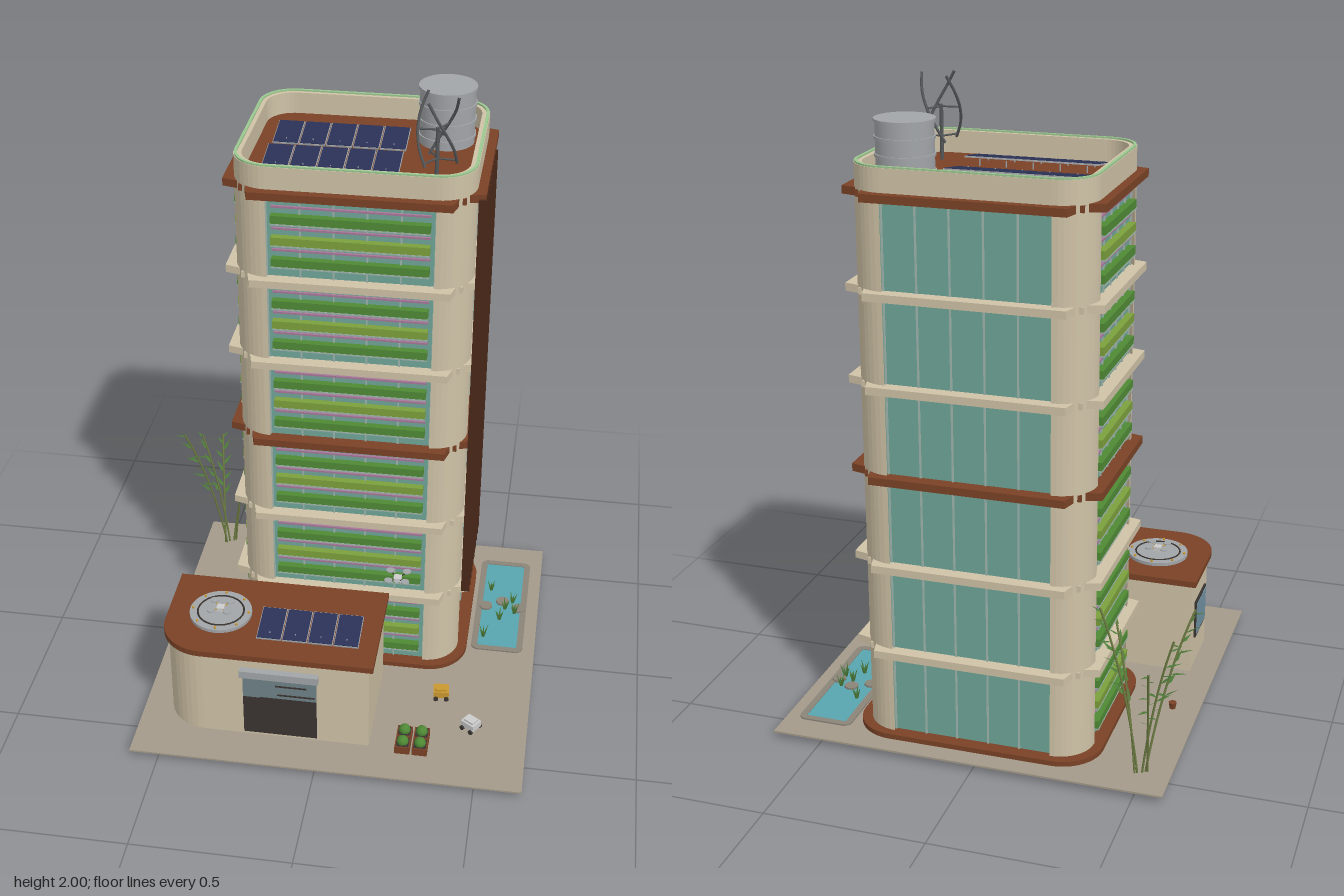
import * as THREE from 'three';

const mat = (color, side = THREE.FrontSide) => new THREE.MeshStandardMaterial({ color, side });
const cream = mat(0xcfc2a6), brown = mat(0x7a4226), darkBrown = mat(0x4a2818), glass = mat(0x6fa598),
  green = mat(0x4f8a35), lime = mat(0x7ba03c), pink = mat(0xa8789a), frame = mat(0x9fb5ac), navy = mat(0x2a3156),
  metal = mat(0xa2a5a8), dark = mat(0x3a3430), paving = mat(0xa39a8a), water = mat(0x58a5b0), stone = mat(0x8a8378),
  gold = mat(0xc9982f), white = mat(0xcccccc), blade = mat(0x55585a), trim = mat(0x9cc890),
  leafMat = mat(0x4c7a38, THREE.DoubleSide), stalk = mat(0x6d7d42);

function add(parent, name, geo, material, x = 0, y = 0, z = 0) {
  const m = new THREE.Mesh(geo, material);
  m.name = name;
  m.position.set(x, y, z);
  parent.add(m);
  return m;
}
const box = (p, name, m, w, h, d, x, y, z) => add(p, name, new THREE.BoxGeometry(w, h, d), m, x, y, z);
const cyl = (p, name, m, r, h, x, y, z, n = 20, r2 = r) => add(p, name, new THREE.CylinderGeometry(r, r2, h, n), m, x, y, z);
function group(parent, name, x = 0, y = 0, z = 0, ry = 0) {
  const g = new THREE.Group();
  g.name = name;
  g.position.set(x, y, z);
  g.rotation.y = ry;
  parent.add(g);
  return g;
}
// Rounded rectangle on the ground plan, centred on the origin
function roundRect(w, d, r) {
  const s = new THREE.Shape(), x = w / 2, y = d / 2;
  s.absarc(x - r, y - r, r, 0, Math.PI / 2);
  s.absarc(-x + r, y - r, r, Math.PI / 2, Math.PI);
  s.absarc(-x + r, -y + r, r, Math.PI, Math.PI * 1.5);
  s.absarc(x - r, -y + r, r, Math.PI * 1.5, Math.PI * 2);
  s.closePath();
  return s;
}
// Upright prism from a plan shape (shape y points to -z)
const prism = (shape, h) => new THREE.ExtrudeGeometry(shape, { depth: h, bevelEnabled: false, curveSegments: 5 }).rotateX(-Math.PI / 2);
const polygon = pts => new THREE.Shape(pts.map(p => new THREE.Vector2(p[0], -p[1])));
function ring(w, d, r, t) {
  const s = roundRect(w, d, r);
  s.holes.push(roundRect(w - 2 * t, d - 2 * t, r - t));
  return s;
}
// Thin rod between two points
function rod(p, name, m, a, b, r) {
  const A = new THREE.Vector3(...a), B = new THREE.Vector3(...b), d = B.clone().sub(A);
  const c = cyl(p, name, m, r, d.length(), 0, 0, 0, 6);
  c.position.copy(A).add(B).multiplyScalar(0.5);
  c.quaternion.setFromUnitVectors(new THREE.Vector3(0, 1, 0), d.normalize());
}

const FLOORS = [0.03, 0.31, 0.595, 0.88, 1.16, 1.44, 1.725];

// One tower side; local +z points outwards and z = 0 is the wall plane
function facade(tower, name, w, x, z, ry, planted) {
  const g = group(tower, name, x, 0, z, ry);
  box(g, 'glazing', glass, w + 0.02, 1.7, 0.02, 0, 0.88, -0.025);
  for (let i = 0; i <= 5; i++) box(g, 'mullion', frame, 0.005, 1.69, 0.006, (i / 5 - 0.5) * w, 0.88, -0.013);
  FLOORS.slice(1).forEach((y, i) => {
    const a = w / 2 + 0.065, b = w / 2 + 0.05;
    const ledge = prism(polygon([[-a, -0.03], [-b, 0.027], [b, 0.027], [a, -0.03]]), 0.024);
    add(g, 'floorLedge', ledge, i === 2 || i === 5 ? brown : cream, 0, y - 0.012, 0);
  });
  if (!planted) return;
  for (const y of FLOORS.slice(0, 6)) {
    [0.065, 0.135, 0.205].forEach((dy, k) => {
      box(g, 'planterGreenery', k === 1 ? lime : green, w - 0.03, 0.025, 0.024, 0, y + dy, -0.004);
      box(g, 'planterTray', frame, w - 0.03, 0.005, 0.026, 0, y + dy - 0.015, -0.004);
      box(g, 'flowerStrip', pink, w - 0.03, 0.006, 0.008, 0, y + dy + 0.035, -0.011);
    });
  }
}

function solarRow(p, n, x0, pitch, y, z, depth, tilt) {
  for (let i = 0; i < n; i++) {
    const g = group(p, 'solarPanel', x0 + (i + 0.5) * pitch, y, z);
    g.rotation.x = tilt;
    box(g, 'panelFrame', metal, pitch - 0.003, 0.005, depth, 0, 0, 0);
    box(g, 'panelCells', navy, pitch - 0.007, 0.004, depth - 0.004, 0, 0.002, 0);
    for (const s of [-1, 1]) rod(p, 'panelLeg', metal, [g.position.x, y - 0.02, z + s * 0.04], [g.position.x, y, z + s * 0.04], 0.002);
  }
}

function drone(root, x, y, z, armMat) {
  const g = group(root, 'drone', x, y, z);
  box(g, 'droneBody', white, 0.024, 0.014, 0.024, 0, 0, 0);
  for (const sx of [-1, 1]) for (const sz of [-1, 1]) {
    rod(g, 'droneArm', armMat, [0, 0, 0], [sx * 0.026, 0.006, sz * 0.026], 0.002);
    cyl(g, 'rotor', metal, 0.013, 0.003, sx * 0.026, 0.009, sz * 0.026, 12);
  }
}

function robot(root, x, z, ry, m) {
  const g = group(root, 'serviceRobot', x, 0.025, z, ry);
  box(g, 'robotBody', m, 0.05, 0.022, 0.042, 0, 0.022, 0);
  box(g, 'robotLid', m, 0.036, 0.008, 0.03, 0, 0.036, 0);
  for (const sx of [-1, 1]) for (const sz of [-1, 1])
    cyl(g, 'wheel', dark, 0.008, 0.007, sx * 0.017, 0.008, sz * 0.023, 10).rotation.x = Math.PI / 2;
}

function tuft(root, x, z, h) {
  const g = group(root, 'waterPlant', x, 0.025, z);
  for (let i = 0; i < 6; i++) {
    const a = i * 1.047 + x * 20, l = h * (i % 2 ? 1 : 0.75);
    const geo = new THREE.ConeGeometry(0.005, l, 4).translate(0, l / 2, 0).rotateX(0.35);
    add(g, 'reedLeaf', geo, leafMat).rotation.y = a;
  }
}

// Leaning stem with pointed leaves in the upper part
function bambooStem(g, tip, k) {
  const base = [-0.5 + 0.008 * k, 0, -0.5 - 0.006 * k];
  const curve = new THREE.QuadraticBezierCurve3(new THREE.Vector3(...base),
    new THREE.Vector3((base[0] * 2 + tip[0]) / 3, tip[1] * 0.6, (base[2] * 2 + tip[2]) / 3), new THREE.Vector3(...tip));
  add(g, 'stem', new THREE.TubeGeometry(curve, 12, 0.0035, 5), stalk);
  const leaf = new THREE.ShapeGeometry(polygon([[0, 0], [0.008, -0.02], [0, -0.062], [-0.008, -0.02]]));
  for (let i = 0; i < 9; i++) {
    const l = add(g, 'leaf', leaf, leafMat);
    l.position.copy(curve.getPoint(0.45 + 0.065 * i));
    const a = Math.atan2(tip[0] - base[0], tip[2] - base[2]) + (i % 2 ? 0.6 : -0.6);
    l.rotation.set(1.0 + 0.2 * (i % 3), a, 0, 'YXZ');
    l.scale.setScalar(i > 6 ? 0.6 : 0.85);
  }
}

export function createModel() {
  const root = new THREE.Group();
  root.name = 'greenTower';
  box(root, 'groundPlate', paving, 1.24, 0.006, 1.245, 0.03, 0.021, 0.012);

  // Tower
  const tower = group(root, 'tower', 0.03, 0, -0.22);
  add(tower, 'baseSlab', prism(roundRect(0.78, 0.655, 0.13), 0.018), brown, 0, 0.022, 0);
  for (const sx of [-1, 1]) for (const sz of [-1, 1]) {
    const s = new THREE.Shape(), a = Math.atan2(-sz, sx) - Math.PI / 4;
    s.moveTo(0, 0);
    s.absarc(0, 0, 0.11, a, a + Math.PI / 2);
    s.closePath();
    const c = group(tower, 'cornerColumn', sx * 0.25, 0, sz * 0.19);
    add(c, 'columnShaft', prism(s, 1.7), cream, 0, 0.035, 0);
    FLOORS.slice(1).forEach((y, i) =>
      box(c, 'columnStud', i === 2 || i === 5 ? brown : cream, 0.012, 0.02, 0.012, sx * 0.077, y, sz * 0.077));
  }
  facade(tower, 'frontFacade', 0.5, 0, 0.3, 0, true);
  facade(tower, 'backFacade', 0.5, 0, -0.3, Math.PI, false);
  facade(tower, 'leftFacade', 0.38, 0.36, 0, Math.PI / 2, false);
  facade(tower, 'rightFacade', 0.38, -0.36, 0, -Math.PI / 2, true);
  for (let i = 0; i < 11; i++) box(root, 'sunFin', darkBrown, 0.028, 1.41, 0.008, 0.411, 1.025, 0.042 - i * 0.036);

  // Roof with parapet, tank, panels and wind turbine
  add(tower, 'roofDeck', prism(roundRect(0.7, 0.58, 0.1), 0.012), brown, 0, 1.727, 0);
  add(tower, 'parapet', prism(ring(0.72, 0.6, 0.11, 0.024), 0.077), cream, 0, 1.73, 0);
  add(tower, 'parapetTrim', prism(ring(0.716, 0.596, 0.108, 0.009), 0.005), trim, 0, 1.807, 0);
  solarRow(root, 5, -0.253, 0.082, 1.765, -0.278, 0.126, 0.16);
  solarRow(root, 5, -0.253, 0.082, 1.765, -0.095, 0.126, 0.16);
  const tank = group(root, 'waterTank', 0.265, 0, -0.35);
  cyl(tank, 'tankBody', metal, 0.085, 0.18, 0, 1.828, 0, 28);
  for (const y of [1.765, 1.815, 1.865, 1.914]) cyl(tank, 'tankBand', metal, 0.089, 0.009, 0, y, 0, 28);
  const turbine = group(root, 'windTurbine', 0.265, 0, -0.05);
  cyl(turbine, 'mast', blade, 0.006, 0.17, 0, 1.82, 0, 8);
  for (let k = 0; k < 3; k++) {
    const at = (t, r) => {
      const a = k * 2.094 + t * 2;
      return new THREE.Vector3(Math.cos(a) * r, 1.8 + t * 0.198, Math.sin(a) * r);
    };
    const pts = [0, 0.25, 0.5, 0.75, 1].map(t => at(t, 0.058));
    add(turbine, 'blade', new THREE.TubeGeometry(new THREE.CatmullRomCurve3(pts), 16, 0.0045, 5), blade);
    for (const t of [0.05, 0.5]) rod(turbine, 'spoke', blade, [0, 1.8 + t * 0.198, 0], at(t, 0.058).toArray(), 0.003);
  }

  // Low annex with one rounded corner
  const annex = group(root, 'annex');
  const annexPlan = (x0, x1, z0, z1, r) => {
    const s = new THREE.Shape();
    s.moveTo(x1, -z1);
    s.lineTo(x1, -z0);
    s.lineTo(x0, -z0);
    s.lineTo(x0, -z1 + r);
    s.absarc(x0 + r, -z1 + r, r, Math.PI, Math.PI * 1.5);
    s.closePath();
    return s;
  };
  add(annex, 'annexWalls', prism(annexPlan(-0.505, 0.156, 0.148, 0.5, 0.13), 0.315), cream, 0, 0.024, 0);
  add(annex, 'annexRoof', prism(annexPlan(-0.518, 0.17, 0.138, 0.515, 0.14), 0.02), brown, 0, 0.335, 0);
  box(annex, 'entrance', dark, 0.235, 0.15, 0.008, -0.127, 0.109, 0.5);
  box(annex, 'entranceWindow', mat(0x6f8288), 0.235, 0.09, 0.008, -0.127, 0.226, 0.5);
  for (const [w, x, y] of [[0.1, -0.09, 0.235], [0.12, -0.075, 0.2]]) box(annex, 'windowSlat', dark, w, 0.005, 0.003, x, y, 0.505);
  box(annex, 'awning', metal, 0.25, 0.026, 0.024, -0.127, 0.283, 0.51);
  box(annex, 'sideWindowFrame', dark, 0.012, 0.13, 0.15, -0.505, 0.19, 0.27);
  for (const s of [-1, 1]) box(annex, 'sideWindowPane', mat(0x6f8fa0), 0.005, 0.11, 0.064, -0.511, 0.19, 0.27 + s * 0.035);
  solarRow(annex, 4, -0.211, 0.0815, 0.38, 0.378, 0.128, 0.19);
  const pad = group(annex, 'landingPad', -0.348, 0.36, 0.32);
  cyl(pad, 'padDisc', metal, 0.1, 0.012, 0, 0, 0, 32);
  add(pad, 'padRing', new THREE.TorusGeometry(0.074, 0.003, 6, 32).rotateX(Math.PI / 2), dark, 0, 0.006, 0);
  for (let i = 0; i < 8; i++)
    cyl(pad, 'padLight', gold, 0.004, 0.006, Math.cos(i * 0.785) * 0.09, 0.008, Math.sin(i * 0.785) * 0.09, 8);
  drone(root, -0.348, 0.376, 0.32, gold);
  drone(root, 0.217, 0.555, 0.312, dark);

  // Pool with stepping stones and water plants
  add(root, 'poolRim', prism(ring(0.175, 0.5, 0.025, 0.021), 0.006), stone, 0.522, 0.023, -0.27);
  box(root, 'poolWater', water, 0.136, 0.004, 0.46, 0.522, 0.0245, -0.27);
  for (const [x, z] of [[0.468, -0.255], [0.525, -0.287], [0.582, -0.255]]) cyl(root, 'steppingStone', stone, 0.023, 0.01, x, 0.028, z, 9);
  [[0.48, -0.35], [0.52, -0.19], [0.57, -0.23], [0.56, -0.29], [0.535, -0.25], [0.472, -0.09]]
    .forEach(([x, z], i) => tuft(root, x, z, 0.045 + 0.004 * (i % 3)));

  // Forecourt planters and robots
  for (const x of [0.265, 0.32]) for (const z of [0.445, 0.498]) {
    box(root, 'planterBox', brown, 0.048, 0.028, 0.048, x, 0.037, z);
    box(root, 'planterSoil', dark, 0.04, 0.003, 0.04, x, 0.051, z);
    add(root, 'shrub', new THREE.IcosahedronGeometry(0.019, 1), green, x, 0.058, z);
  }
  robot(root, 0.36, 0.235, 0.1, gold);
  robot(root, 0.47, 0.373, -0.6, white);
  cyl(root, 'smallPot', brown, 0.013, 0.022, -0.505, 0.034, -0.105, 12, 0.009);

  // Bamboo clump
  const bamboo = group(root, 'bamboo');
  [[-0.54, 0.42, -0.615], [-0.63, 0.54, -0.41], [-0.59, 0.48, -0.51], [-0.37, 0.56, -0.52], [-0.4, 0.48, -0.44]]
    .forEach((t, k) => bambooStem(bamboo, t, k - 2));
  return root;
}
